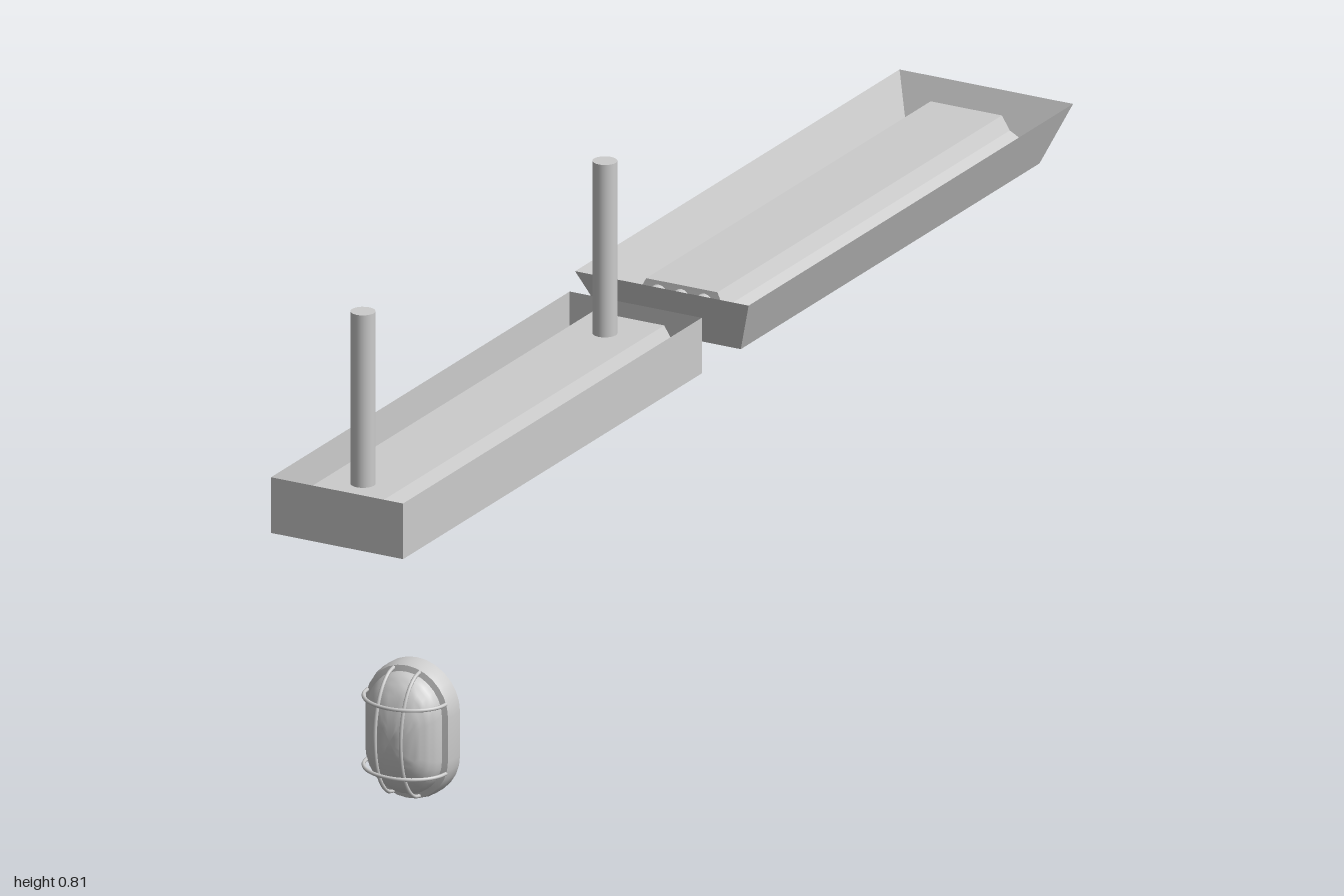
import * as THREE from 'three';
import { toCreasedNormals } from 'three/addons/utils/BufferGeometryUtils.js';

const grey = new THREE.MeshStandardMaterial({ color: 0xcccccc });
const sheet = new THREE.MeshStandardMaterial({ color: 0xcccccc, side: THREE.DoubleSide });

function add(parent, name, geometry, material = grey) {
  const mesh = new THREE.Mesh(geometry, material);
  mesh.name = name;
  parent.add(mesh);
  return mesh;
}

// Skin over closed rings that all have the same number of points
function loft(rings, crease = 0.5) {
  const n = rings[0].length, index = [];
  for (let r = 0; r < rings.length - 1; r++) {
    for (let i = 0; i < n; i++) {
      const a = r * n + i, b = r * n + (i + 1) % n;
      index.push(a, b, a + n, b, b + n, a + n);
    }
  }
  const g = new THREE.BufferGeometry();
  g.setAttribute('position', new THREE.Float32BufferAttribute(rings.flat(2), 3));
  g.setIndex(index);
  return toCreasedNormals(g, crease);
}

// Horizontal rectangle, counter-clockwise from above
const rect = (x, z, y) => [[x, y, z], [x, y, -z], [-x, y, -z], [-x, y, z]];

// Upright stadium outline of end radius r and half straight length h
function stadium(r, h, z) {
  const ring = [], seg = 14;
  for (const side of [1, -1]) {
    for (let i = 0; i <= seg; i++) {
      const a = Math.PI * i / seg;
      ring.push([side * r * Math.cos(a), side * (h + r * Math.sin(a)), z]);
    }
  }
  return ring;
}

// Louvred lamp trough, open at the top and bottom; flare widens the upper rim
function createTroughLight(flare) {
  const light = new THREE.Group();
  const W = 0.115, L = 0.46;

  // Thin walls and the narrow bottom flange
  add(light, 'troughWalls', loft([
    rect(W - 0.015, L - 0.015, 0.455),
    rect(W, L, 0.455),
    rect(W + flare, L + flare * 1.1, 0.545),
  ]), sheet);

  // Stepped reflector with a flat top
  add(light, 'reflector', loft([
    rect(0.1, L - 0.015, 0.456),
    rect(0.09, L - 0.017, 0.497),
    rect(0.074, L - 0.019, 0.507),
    rect(0.062, L - 0.022, 0.53),
    rect(0, L - 0.03, 0.53),
  ]), sheet);

  // Fluorescent tubes and their end holders
  for (const x of [-0.034, 0.034]) {
    const tube = new THREE.CylinderGeometry(0.013, 0.013, 2 * L - 0.05, 16);
    tube.rotateX(Math.PI / 2);
    add(light, 'lampTube', tube).position.set(x, 0.502, 0);
  }
  for (const end of [-1, 1]) {
    for (const x of [-0.04, 0, 0.04]) {
      const holder = new THREE.CylinderGeometry(0.016, 0.016, 0.02, 16);
      holder.rotateX(Math.PI / 2);
      add(light, 'lampHolder', holder).position.set(x, 0.508, end * (L - 0.02));
    }
  }

  // Arched cross blades
  const arch = new THREE.Shape();
  arch.moveTo(-0.099, 0.457);
  arch.lineTo(0.099, 0.457);
  arch.quadraticCurveTo(0, 0.515, -0.099, 0.457);
  const blade = new THREE.ExtrudeGeometry(arch, { depth: 0.008, bevelEnabled: false });
  for (let i = -3; i <= 3; i++) {
    add(light, 'louvreBlade', blade).position.z = i * 0.125 - 0.004;
  }
  return light;
}

// Oval wall lamp with a wire cage, open at the back
function createWallLamp() {
  const lamp = new THREE.Group();
  add(lamp, 'lampBase', loft([
    stadium(0.062, 0.035, 0.03),
    stadium(0.066, 0.035, 0),
    stadium(0.075, 0.035, 0),
    stadium(0.075, 0.035, 0.02),
    stadium(0.072, 0.035, 0.032),
    stadium(0.06, 0.035, 0.035),
  ]), sheet);

  // Domed glass
  const dome = [];
  for (let i = 0; i <= 12; i++) {
    const a = Math.PI / 2 * i / 12, s = Math.cos(a);
    dome.push(stadium(0.063 * s, 0.035 * s, 0.033 + 0.052 * Math.sin(a)));
  }
  add(lamp, 'domedGlass', loft(dome, 1), sheet);

  // Cage wires, each an arch over the dome
  const wire = (name, place) => {
    const points = [];
    for (let i = 0; i <= 12; i++) {
      const a = Math.PI * (i / 12 - 0.5);
      points.push(place(Math.sin(a), 0.031 + 0.059 * Math.cos(a)));
    }
    add(lamp, name, new THREE.TubeGeometry(new THREE.CatmullRomCurve3(points), 32, 0.003, 8));
  };
  for (const side of [-1, 1]) {
    wire('uprightCageWire', (t, z) => new THREE.Vector3(side * 0.0225, t * 0.1, z));
    wire('crossCageWire', (t, z) => new THREE.Vector3(t * 0.068, side * 0.056, z));
  }
  return lamp;
}

export function createModel() {
  const model = new THREE.Group();
  model.name = 'lightFittings';

  // Hanging light with two suspension rods
  const hanging = createTroughLight(0);
  hanging.name = 'hangingLight';
  hanging.position.z = 0.54;
  for (const z of [-0.365, 0.38]) {
    add(hanging, 'suspensionRod', new THREE.CylinderGeometry(0.019, 0.019, 0.28, 20)).position.set(0, 0.669, z);
  }
  model.add(hanging);

  // Recessed light with a flared rim
  const recessed = createTroughLight(0.036);
  recessed.name = 'recessedLight';
  recessed.position.z = -0.5;
  model.add(recessed);

  const wallLamp = createWallLamp();
  wallLamp.name = 'wallLamp';
  wallLamp.position.set(0.033, 0.11, 0.812);
  model.add(wallLamp);
  return model;
}
